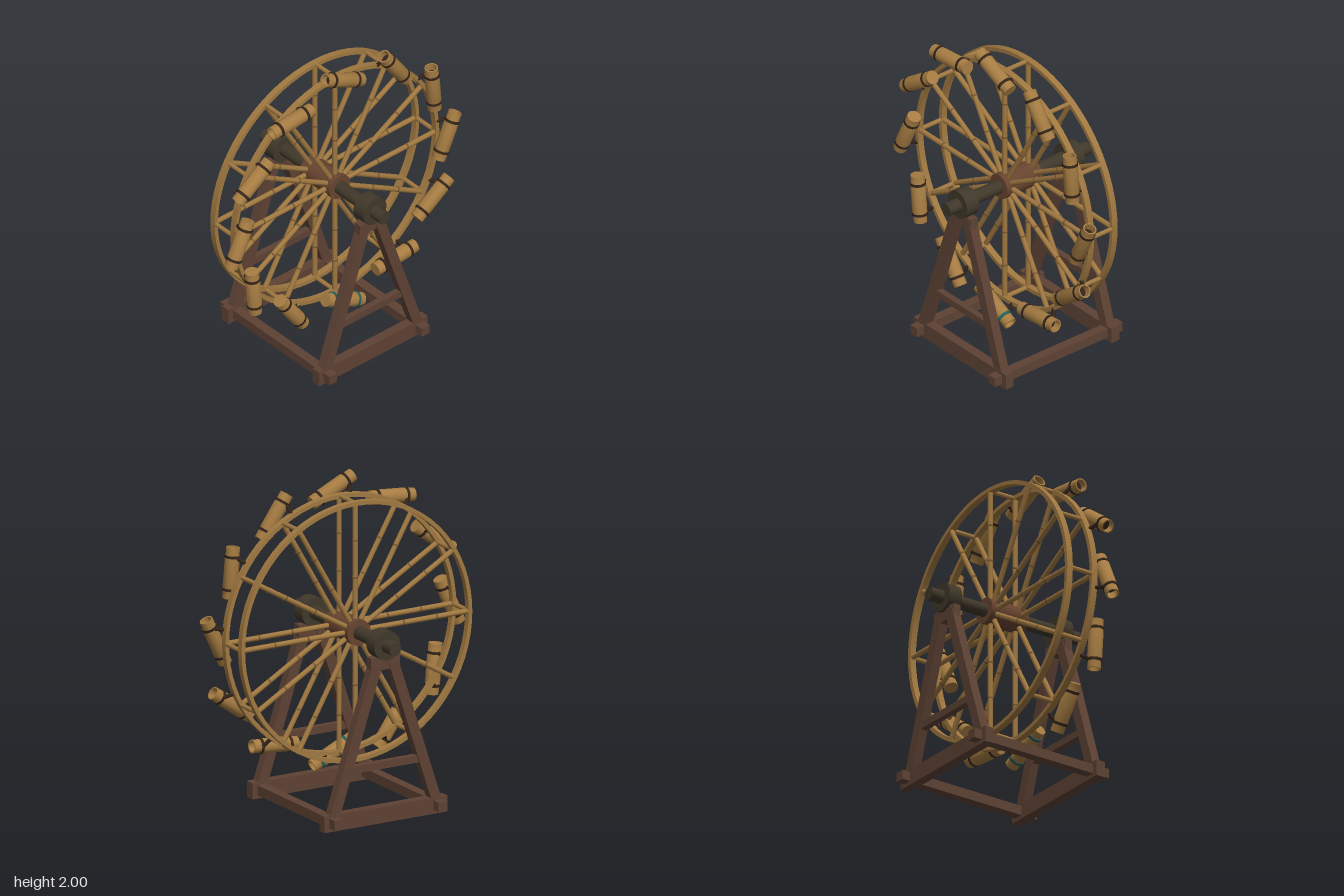
import * as THREE from 'three';
import { toCreasedNormals } from 'three/addons/utils/BufferGeometryUtils.js';

const mat = (name, color) => {
  const m = new THREE.MeshStandardMaterial({ color });
  m.name = name;
  return m;
};

export function createModel() {
  const bamboo = mat('bamboo', 0xa67c42);
  const paleBamboo = mat('spoke bamboo', 0xa07840);
  const node = mat('bamboo node', 0x7a5830);
  const wood = mat('timber', 0x5e4234);
  const hubWood = mat('hub timber', 0x68442f);
  const iron = mat('dark axle', 0x40382a);
  const strap = mat('dark strap', 0x33241a);
  const teal = mat('teal strap', 0x1f625c);

  const model = new THREE.Group();
  const AXLE_Y = 1.09, RIM = 0.787, RING_Z = 0.09, FRAME_Z = 0.405;

  const add = (parent, name, geo, material, x = 0, y = 0, z = 0) => {
    const m = new THREE.Mesh(geo, material);
    m.name = name;
    m.position.set(x, y, z);
    parent.add(m);
    return m;
  };
  const box = (parent, name, w, h, d, x, y, z, material = wood) =>
    add(parent, name, new THREE.BoxGeometry(w, h, d), material, x, y, z);
  // Round bar between two points
  const bar = (parent, name, a, b, r, material, sides = 10) => {
    const d = b.clone().sub(a);
    const m = add(parent, name, new THREE.CylinderGeometry(r, r, d.length(), sides), material);
    m.position.copy(a).add(b).multiplyScalar(0.5);
    m.quaternion.setFromUnitVectors(new THREE.Vector3(0, 1, 0), d.normalize());
    return m;
  };
  const lathe = (pts, n) => toCreasedNormals(
    new THREE.LatheGeometry(pts.map(p => new THREE.Vector2(...p)), n), 0.6);
  const v = (x, y, z) => new THREE.Vector3(x, y, z);

  // Stand: two A-frames joined by floor beams
  const stand = new THREE.Group();
  stand.name = 'stand';
  model.add(stand);
  for (const s of [1, -1]) {
    const z = s * FRAME_Z;
    box(stand, 'baseBeam', 0.85, 0.1, 0.06, 0, 0.05, z);
    box(stand, 'crossBar', 0.56, 0.045, 0.04, 0, 0.352, z);
    box(stand, 'saddleBlock', 0.2, 0.08, 0.05, 0, 0.98, z);
    box(stand, 'floorBeam', 0.06, 0.06, 0.98, s * 0.36, 0.053, 0);
    for (const side of [1, -1]) {
      const dx = 0.315, dy = 0.95;
      const leg = box(stand, 'leg', 0.066, Math.hypot(dx, dy), 0.058,
        side * (0.045 + dx / 2), 0.06 + dy / 2, z);
      leg.rotation.z = side * Math.atan2(dx, dy);
    }
    bar(stand, 'bearing', v(0, AXLE_Y, z - 0.046), v(0, AXLE_Y, z + 0.046), 0.09, iron, 20);
  }

  // Axle and hub
  bar(model, 'axle', v(0, AXLE_Y, -0.54), v(0, AXLE_Y, 0.54), 0.041, iron, 20);
  bar(model, 'hub', v(0, AXLE_Y, -0.135), v(0, AXLE_Y, 0.135), 0.08, hubWood, 20);

  // Wheel, built around the axle
  const wheel = new THREE.Group();
  wheel.name = 'wheel';
  wheel.position.y = AXLE_Y;
  model.add(wheel);

  const ringGeo = lathe([[0.775, -0.02], [0.8, -0.02], [0.8, 0.02], [0.775, 0.02], [0.775, -0.02]], 72);
  ringGeo.rotateX(Math.PI / 2);
  for (const z of [RING_Z, -RING_Z]) add(wheel, 'rim', ringGeo, paleBamboo, 0, 0, z);

  // Hollow bamboo scoop, mouth at +y
  const scoopGeo = lathe([[0, -0.155], [0.042, -0.155], [0.043, -0.105], [0.045, -0.1], [0.045, 0.105],
    [0.041, 0.11], [0.041, 0.155], [0.033, 0.155], [0.033, -0.1], [0, -0.1]], 18);
  const bandGeo = new THREE.CylinderGeometry(0.048, 0.048, 0.016, 18);

  for (let i = 0; i < 12; i++) {
    const a = i * Math.PI / 6;
    const polar = (r, z, ang = a) => v(r * Math.cos(ang), r * Math.sin(ang), z);

    // Spokes with nodes, and the tie between the rims
    for (const z of [RING_Z, -RING_Z]) {
      bar(wheel, 'spoke', polar(0.06, z), polar(0.78, z), 0.016, paleBamboo);
      for (const r of [0.33, 0.56])
        bar(wheel, 'spokeNode', polar(r - 0.005, z), polar(r + 0.005, z), 0.0185, node);
    }
    bar(wheel, 'rimTie', polar(RIM, -RING_Z), polar(RIM, RING_Z), 0.014, paleBamboo);

    // Scoop, tilted from the rim's tangent
    const scoop = new THREE.Group();
    scoop.name = 'scoop';
    scoop.position.copy(polar(0.81, 0.165));
    scoop.rotation.z = a - THREE.MathUtils.degToRad(25);
    wheel.add(scoop);
    add(scoop, 'scoopTube', scoopGeo, bamboo);
    for (const y of [0.1, -0.1]) {
      add(scoop, 'scoopBand', bandGeo, i === 9 ? teal : strap, 0, y, 0);
      // Lashing from the band back to the front rim
      const p = v(0, y, 0).applyEuler(scoop.rotation).add(scoop.position);
      p.z = 0.135;
      bar(wheel, 'lashing', p, polar(RIM, 0.1, Math.atan2(p.y, p.x)), 0.012, strap, 8);
    }
  }
  return model;
}
